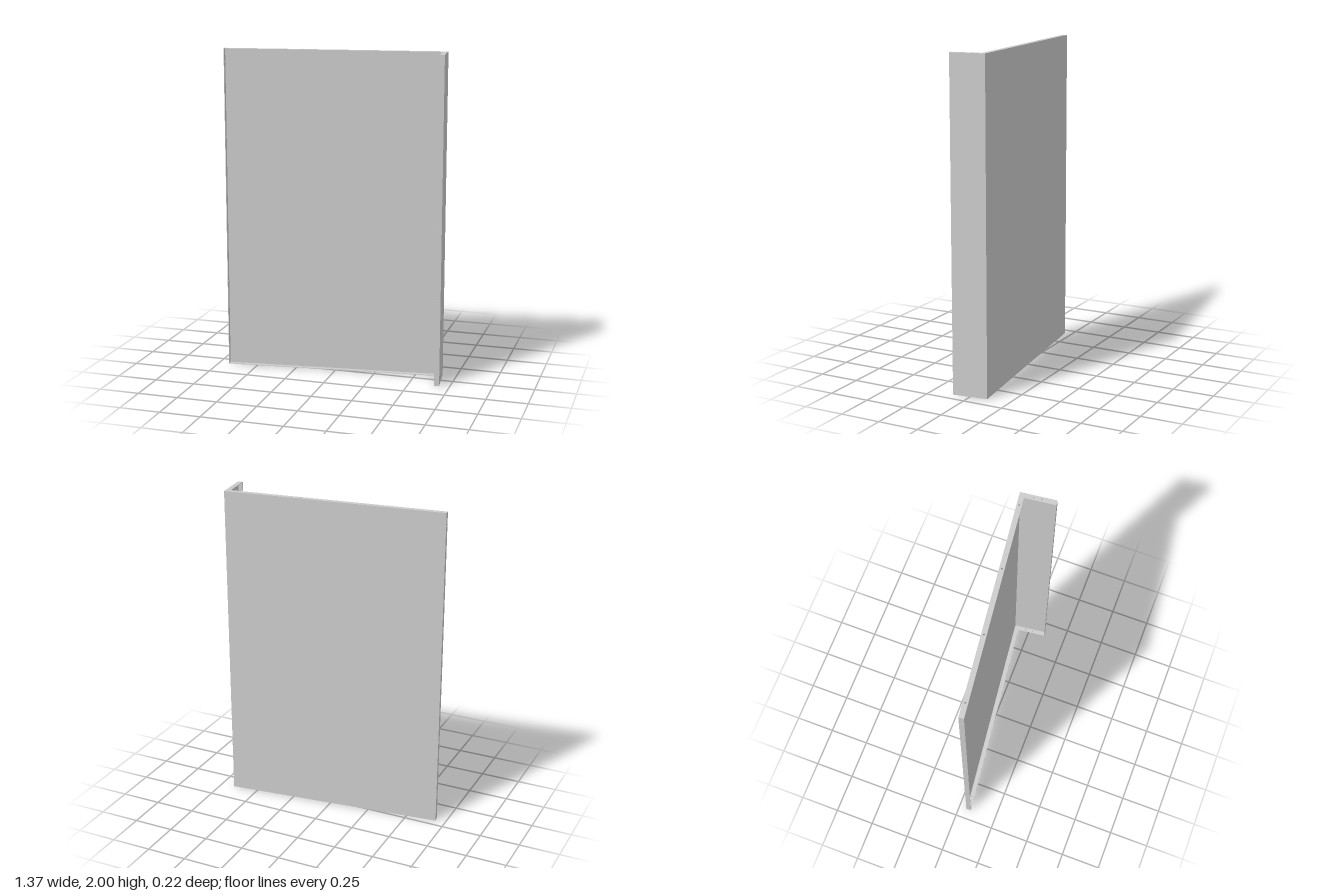
import * as THREE from 'three';

const W = 1.359;   // long face width
const D = 0.2165;  // return face width
const H = 2;       // height
const F = 0.031;   // flange depth
const T = 0.003;   // sheet thickness
const R = 0.005;   // hole radius
const TILT = 0.1157;

const material = new THREE.MeshStandardMaterial({ color: 0xcccccc, flatShading: true });

// Flat sheet cut from an outline with round holes
function sheet(outline, holes) {
  const shape = new THREE.Shape(outline.map(([x, y]) => new THREE.Vector2(x, y)));
  for (const [x, y] of holes) {
    shape.holes.push(new THREE.Path().absarc(x, y, R, 0, Math.PI * 2, true));
  }
  return new THREE.ExtrudeGeometry(shape, { depth: T, bevelEnabled: false, curveSegments: 12 });
}

const rect = (x0, y0, x1, y1) => [[x0, y0], [x1, y0], [x1, y1], [x0, y1]];

export function createModel() {
  const model = new THREE.Group();
  model.name = 'cornerPanel';
  const panel = new THREE.Group();
  panel.name = 'foldedSheet';
  panel.rotation.y = TILT;
  panel.position.set((W * Math.cos(TILT) - D * Math.sin(TILT)) / 2, 0, -D * Math.cos(TILT) / 2);
  model.add(panel);

  function add(name, geometry, x = 0, y = 0, z = 0) {
    const mesh = new THREE.Mesh(geometry, material);
    mesh.name = name;
    mesh.position.set(x, y, z);
    panel.add(mesh);
  }

  // Two outer faces meeting at the corner (local origin)
  add('mainFace', new THREE.BoxGeometry(W, H, T), -W / 2, H / 2, T / 2);
  add('returnFace', new THREE.BoxGeometry(T, H, D - T), -T / 2, H / 2, (D + T) / 2);

  // L-shaped top and bottom flanges with fixing holes
  const outline = [[-W, T], [-T, T], [-T, D], [-F, D], [-F, F], [-W, F]];
  const holes = [0.08, 0.477, 0.874, 1.271].map((d) => [-d, F / 2]);
  holes.push([-F / 2, 0.085], [-F / 2, 0.13]);
  const flange = sheet(outline, holes).rotateX(Math.PI / 2);
  add('topFlange', flange, 0, H, 0);
  add('bottomFlange', flange, 0, T, 0);

  // Upright flanges on the two free edges
  const heights = [0.085, 0.544, 1.003, 1.462, 1.92];
  const far = sheet(rect(T, T, F, H - T), heights.map((y) => [F / 2, y])).rotateY(-Math.PI / 2);
  add('mainEdgeFlange', far, -W + T, 0, 0);
  const near = sheet(rect(-F, T, -T, H - T), heights.map((y) => [-F / 2, y]));
  add('returnEdgeFlange', near, 0, 0, D - T);

  return model;
}
